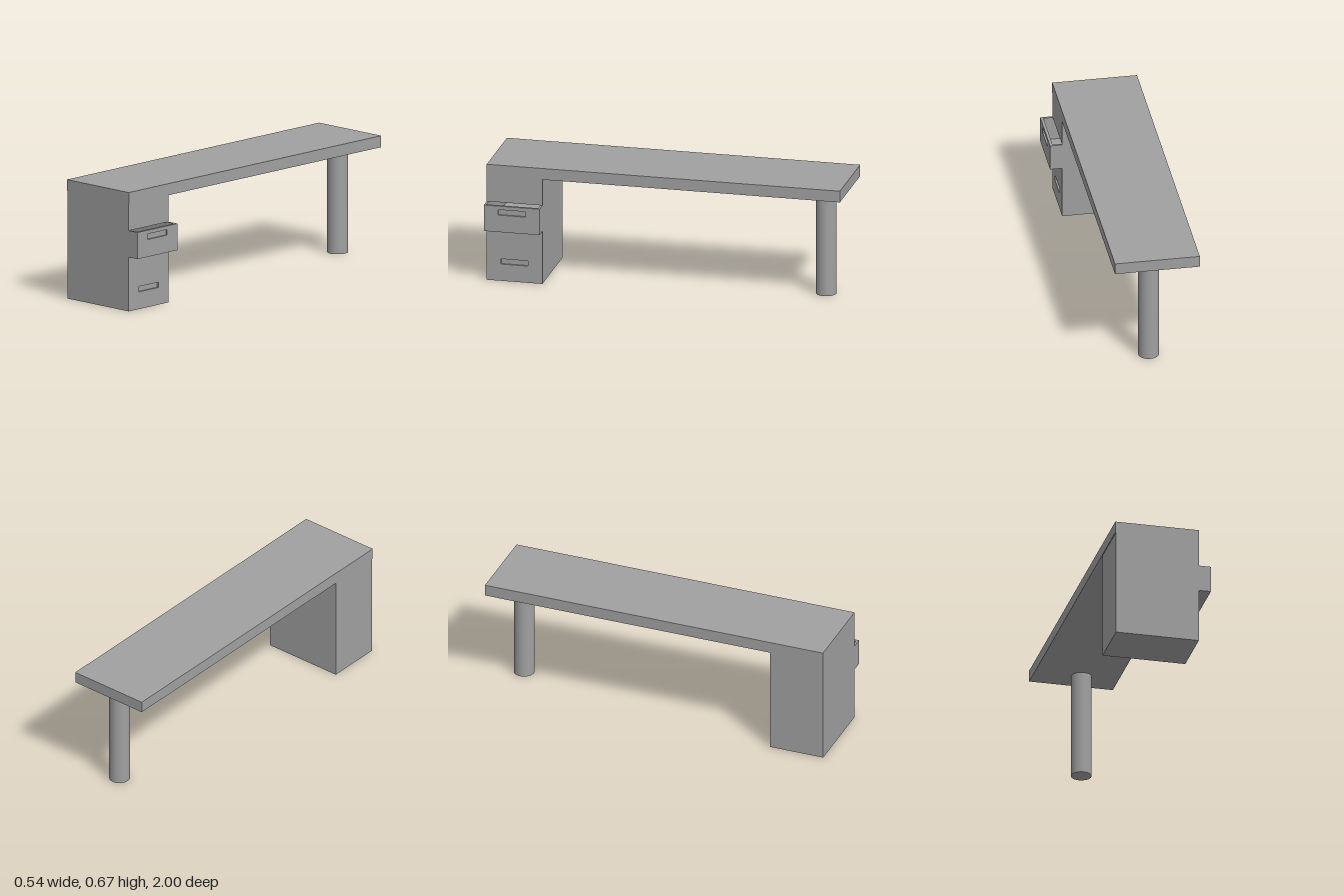
import * as THREE from 'three';

const grey = new THREE.MeshStandardMaterial({ color: 0xa0a0a0 });
grey.name = 'grey';

// Desk extents shared by the parts
const BACK = -0.267, FRONT = 0.202, Z0 = 0.685, Z1 = 1;
const TOP = 0.605, BAY_TOP = 0.455, BAY_BOTTOM = 0.305;
const WALL = 0.012, RECESS = 0.01;

// Box given by its min and max corners
function box(name, x0, x1, y0, y1, z0, z1) {
  const mesh = new THREE.Mesh(new THREE.BoxGeometry(x1 - x0, y1 - y0, z1 - z0), grey);
  mesh.name = name;
  mesh.position.set((x0 + x1) / 2, (y0 + y1) / 2, (z0 + z1) / 2);
  return mesh;
}

function rectPoints(a, b, c, d) {
  return [[a, c], [b, c], [b, d], [a, d]].map(([u, v]) => new THREE.Vector2(u, v));
}

// Front plate facing +x with a slot for the fingers
function slottedFront(name, x, y0, y1, slot0, slot1) {
  const shape = new THREE.Shape(rectPoints(-Z1, -Z0, y0, y1));
  shape.holes.push(new THREE.Path(rectPoints(-0.92, -0.765, slot0, slot1)));
  const geo = new THREE.ExtrudeGeometry(shape, { depth: RECESS, bevelEnabled: false });
  geo.rotateY(Math.PI / 2);
  const mesh = new THREE.Mesh(geo, grey);
  mesh.name = name;
  mesh.position.x = x - RECESS;
  return mesh;
}

export function createModel() {
  const desk = new THREE.Group();
  desk.name = 'desk';

  desk.add(box('tabletop', -0.271, 0.203, TOP, 0.67, -1, 1));

  // Round leg at the far end
  const leg = new THREE.Mesh(new THREE.CylinderGeometry(0.057, 0.057, 0.603, 48), grey);
  leg.name = 'leg';
  leg.position.set(-0.007, 0.3035, -0.872);
  desk.add(leg);

  // Cabinet with a hollow bay for the open drawer
  const cabinet = new THREE.Group();
  cabinet.name = 'cabinet';
  cabinet.add(
    box('topDrawer', BACK, FRONT, BAY_TOP, TOP, Z0, Z1),
    box('bottomDrawer', BACK, FRONT - RECESS, 0, BAY_BOTTOM, Z0, Z1),
    slottedFront('bottomDrawerFront', FRONT, 0, BAY_BOTTOM, 0.097, 0.127),
    box('bayBack', BACK, BACK + WALL, BAY_BOTTOM, BAY_TOP, Z0, Z1),
    box('baySideNear', BACK + WALL, FRONT, BAY_BOTTOM, BAY_TOP, Z1 - WALL, Z1),
    box('baySideFar', BACK + WALL, FRONT, BAY_BOTTOM, BAY_TOP, Z0, Z0 + WALL)
  );
  desk.add(cabinet);

  // Pulled out middle drawer
  const drawer = new THREE.Group();
  drawer.name = 'openDrawer';
  const face = 0.27, inner = face - 0.016;
  drawer.add(
    slottedFront('drawerFront', face, BAY_BOTTOM, BAY_TOP, 0.403, 0.434),
    box('drawerFrontInside', inner, face - RECESS, BAY_BOTTOM, BAY_TOP, Z0, Z1),
    box('drawerSideNear', FRONT, inner, BAY_BOTTOM, BAY_TOP, Z1 - WALL, Z1),
    box('drawerSideFar', FRONT, inner, BAY_BOTTOM, BAY_TOP, Z0, Z0 + WALL),
    box('drawerFloor', BACK + WALL, inner, BAY_BOTTOM, BAY_BOTTOM + WALL, Z0 + WALL, Z1 - WALL)
  );
  desk.add(drawer);

  return desk;
}
